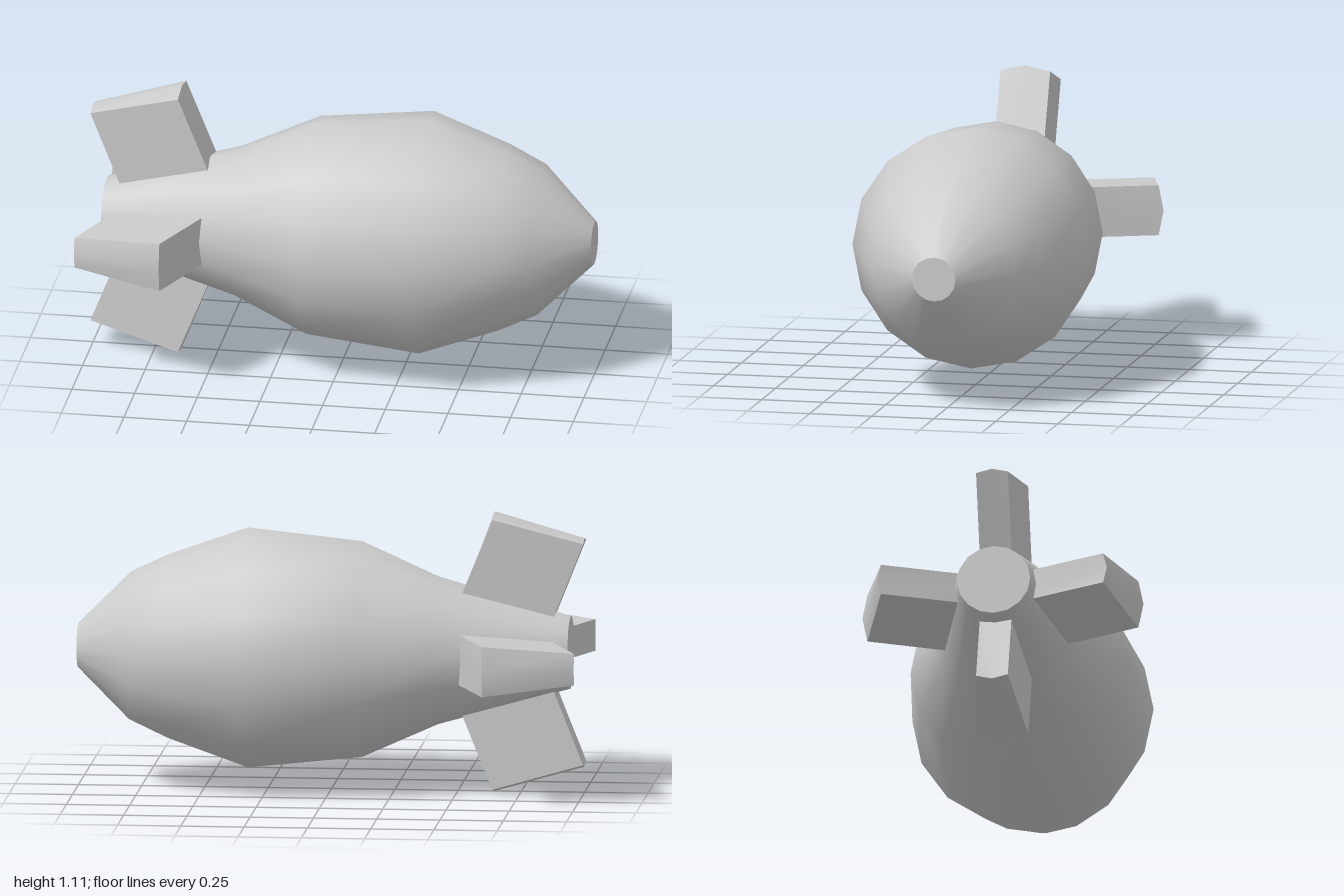
import * as THREE from 'three';
import { toCreasedNormals } from 'three/addons/utils/BufferGeometryUtils.js';

const AXIS_Y = 0.56;

// Tapered fin pointing up: a five-sided section at the leading and trailing edges
function finGeometry() {
  const section = (inner, outer, half, peak) => [
    [...inner, half], [...outer, half], [outer[0], outer[1] + peak, 0],
    [...outer, -half], [...inner, -half],
  ];
  const lead = section([-0.5, 0.18], [-0.645, 0.537], 0.1, 0.02);
  const trail = section([-0.845, 0.05], [-1, 0.44], 0.063, 0.015);
  const pos = [];
  const tri = (a, b, c) => pos.push(...a, ...b, ...c);
  for (let i = 0; i < 5; i++) {
    const j = (i + 1) % 5;
    tri(trail[i], lead[i], lead[j]);
    tri(trail[i], lead[j], trail[j]);
  }
  // leading and trailing end faces
  for (let i = 1; i < 4; i++) {
    tri(lead[0], lead[i + 1], lead[i]);
    tri(trail[0], trail[i], trail[i + 1]);
  }
  const geo = new THREE.BufferGeometry();
  geo.setAttribute('position', new THREE.Float32BufferAttribute(pos, 3));
  return toCreasedNormals(geo, 0.5);
}

export function createModel() {
  const model = new THREE.Group();
  const material = new THREE.MeshStandardMaterial({ color: 0xcccccc });

  // Hull: [radius, x] from tail to nose, closed by flat ends
  const profile = [
    [0, -0.945], [0.145, -0.945], [0.295, -0.42], [0.43, -0.12], [0.478, 0.33],
    [0.368, 0.64], [0.297, 0.79], [0.088, 1], [0, 1],
  ].map(([r, x]) => new THREE.Vector2(r, x));
  const hullGeo = new THREE.LatheGeometry(profile, 16).rotateZ(-Math.PI / 2);
  const hull = new THREE.Mesh(toCreasedNormals(hullGeo, 0.7), material);
  hull.name = 'hull';
  hull.position.y = AXIS_Y;
  model.add(hull);

  // Four tail fins around the hull axis
  const finGeo = finGeometry();
  ['topFin', 'frontFin', 'bottomFin', 'backFin'].forEach((name, i) => {
    const fin = new THREE.Mesh(finGeo, material);
    fin.name = name;
    fin.position.y = AXIS_Y;
    fin.rotation.x = (i * Math.PI) / 2;
    model.add(fin);
  });

  return model;
}
